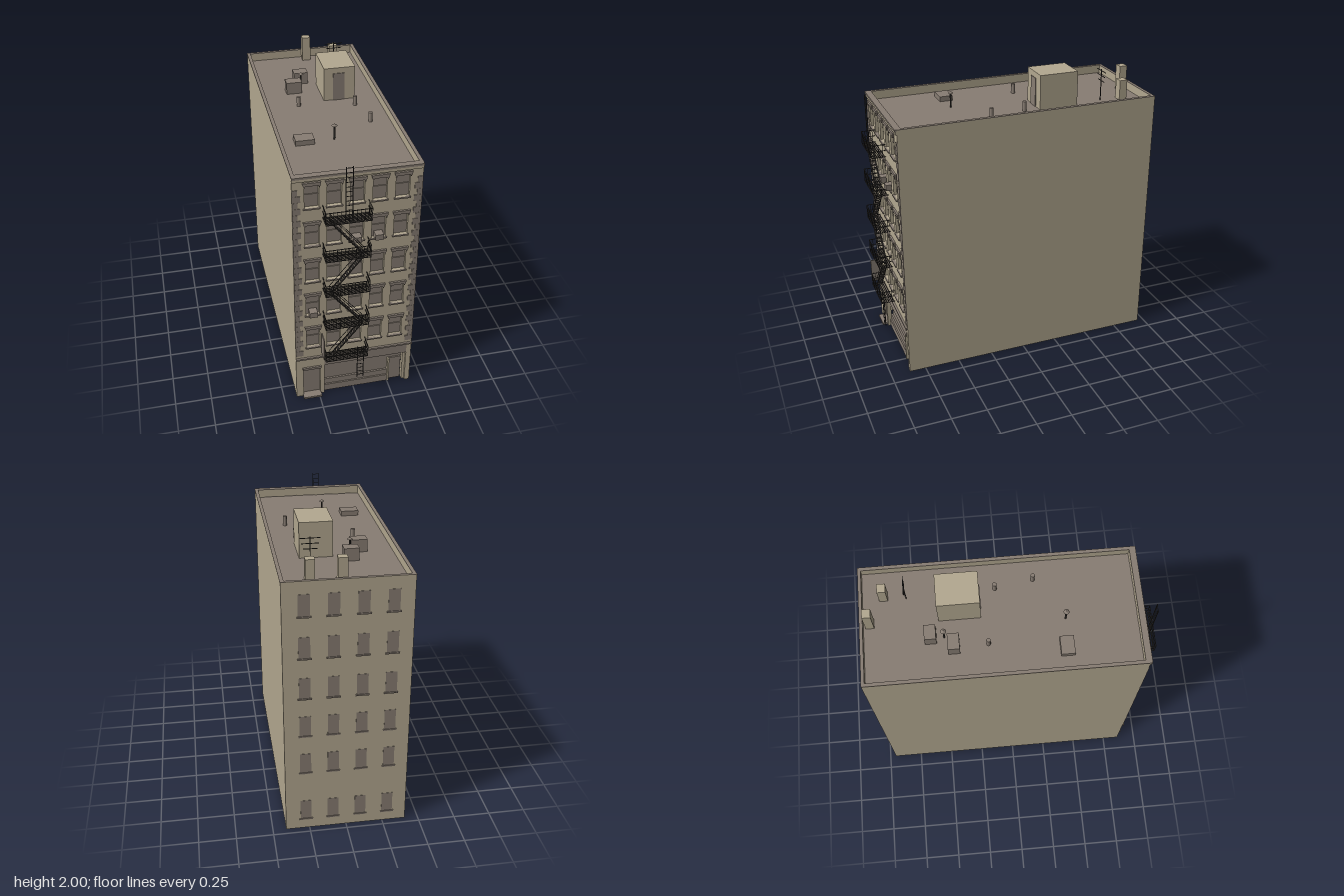
import * as THREE from 'three';

const mat = (name, color, side = THREE.FrontSide) => {
  const m = new THREE.MeshStandardMaterial({ color, side });
  m.name = name;
  return m;
};

export function createModel() {
  const wall = mat('tan masonry', 0xb3a890, THREE.DoubleSide);
  const trim = mat('grey brown trim', 0x887d73, THREE.DoubleSide);
  const iron = mat('dark iron', 0x35322f);

  const model = new THREE.Group();
  model.name = 'building';
  const group = (name) => {
    const g = new THREE.Group();
    g.name = name;
    model.add(g);
    return g;
  };
  const add = (parent, name, geo, m) => {
    const mesh = new THREE.Mesh(geo, m);
    mesh.name = name;
    parent.add(mesh);
    return mesh;
  };
  // Box given by its lower and upper limits on each axis
  const box = (parent, name, m, x0, x1, y0, y1, z0, z1) => {
    const b = add(parent, name, new THREE.BoxGeometry(x1 - x0, y1 - y0, z1 - z0), m);
    b.position.set((x0 + x1) / 2, (y0 + y1) / 2, (z0 + z1) / 2);
    return b;
  };
  // Thin square bar between two points
  const bar = (parent, name, a, b, t = 0.005) => {
    const from = new THREE.Vector3(...a), to = new THREE.Vector3(...b);
    const m = add(parent, name, new THREE.BoxGeometry(t, t, from.distanceTo(to)), iron);
    m.position.copy(from).lerp(to, 0.5);
    m.lookAt(to);
    return m;
  };
  const tube = (parent, name, m, x, z, y0, y1, r) => {
    const c = add(parent, name, new THREE.CylinderGeometry(r, r, y1 - y0, 12), m);
    c.position.set(x, (y0 + y1) / 2, z);
  };

  const W = 0.41, TOP = 1.82, ROOF = 1.76, BACK = -0.955, FRONT = 0.865;
  const columns = [-0.288, -0.147, -0.003, 0.139, 0.283];
  const sills = [0.455, 0.74, 1.02, 1.305, 1.59];

  // Shell: party walls, back wall, roof and parapet, open underneath
  const shell = group('shell');
  for (const s of [-1, 1]) {
    const side = add(shell, 'sideWall', new THREE.PlaneGeometry(FRONT - BACK, TOP), wall);
    side.rotation.y = s * Math.PI / 2;
    side.position.set(s * W, TOP / 2, (FRONT + BACK) / 2);
    box(shell, 'sideParapet', wall, s * 0.399 - 0.01, s * 0.399 + 0.01, ROOF, TOP - 0.004, BACK + 0.002, FRONT - 0.03);
    box(shell, 'sideCoping', trim, s * 0.4 - 0.012, s * 0.4 + 0.012, TOP - 0.004, TOP, BACK, FRONT);
  }
  const back = add(shell, 'backWall', new THREE.PlaneGeometry(2 * W, TOP), wall);
  back.rotation.y = Math.PI;
  back.position.set(0, TOP / 2, BACK);
  box(shell, 'backParapet', wall, -0.389, 0.389, ROOF, TOP - 0.004, BACK + 0.002, BACK + 0.02);
  box(shell, 'backCoping', trim, -0.388, 0.388, TOP - 0.004, TOP, BACK, BACK + 0.022);
  box(shell, 'frontCoping', trim, -0.388, 0.388, TOP - 0.004, TOP, FRONT - 0.03, FRONT);
  const roof = add(shell, 'roof', new THREE.PlaneGeometry(2 * W, FRONT - BACK), trim);
  roof.rotation.x = -Math.PI / 2;
  roof.position.set(0, ROOF, (FRONT + BACK) / 2);

  // Front wall with openings for the shop, entrance and windows
  const face = new THREE.Shape([
    [-W, 0], [-0.36, 0], [-0.36, 0.265], [-0.24, 0.265], [-0.24, 0], [-0.21, 0], [-0.21, 0.35],
    [0.375, 0.35], [0.375, 0], [W, 0], [W, TOP - 0.004], [-W, TOP - 0.004],
  ].map((p) => new THREE.Vector2(...p)));
  for (const x of columns) for (const y of sills) {
    face.holes.push(new THREE.Path([[-0.045, 0], [-0.045, 0.175], [0.045, 0.175], [0.045, 0]]
      .map(([u, v]) => new THREE.Vector2(x + u, y + v))));
  }
  const facade = add(shell, 'frontWall', new THREE.ExtrudeGeometry(face, { depth: 0.03, bevelEnabled: false }), wall);
  facade.position.z = FRONT - 0.03;

  // Front windows with flared lintels and sills
  const windows = group('frontWindows');
  const lintel = new THREE.ExtrudeGeometry(new THREE.Shape([
    [-0.048, 0.15], [-0.045, 0.15], [-0.042, 0.163], [0.042, 0.163], [0.045, 0.15], [0.048, 0.15],
    [0.057, 0.178], [0.057, 0.185], [-0.057, 0.185], [-0.057, 0.178],
  ].map((p) => new THREE.Vector2(...p))), { depth: 0.013, bevelEnabled: false });
  for (const x of columns) for (const y of sills) {
    box(windows, 'pane', trim, x - 0.046, x + 0.046, y, y + 0.176, FRONT - 0.026, FRONT - 0.02);
    box(windows, 'sashRail', trim, x - 0.045, x + 0.045, y + 0.085, y + 0.092, FRONT - 0.02, FRONT - 0.014);
    box(windows, 'sill', trim, x - 0.053, x + 0.053, y - 0.01, y, FRONT - 0.01, FRONT + 0.01);
    add(windows, 'lintel', lintel, trim).position.set(x, y, FRONT);
  }
  for (const [x, y] of [[0.139, 1.305], [-0.003, 1.305], [-0.288, 0.74]]) {
    box(windows, 'airConditioner', trim, x - 0.027, x + 0.027, y, y + 0.04, FRONT - 0.02, FRONT + 0.034);
  }

  // Back windows
  const rear = group('backWindows');
  for (const x of [-0.28, -0.095, 0.09, 0.273]) for (const y of [0.08, ...sills]) {
    box(rear, 'pane', trim, x - 0.037, x + 0.037, y, y + 0.145, BACK - 0.002, BACK + 0.002);
    box(rear, 'sill', trim, x - 0.045, x + 0.045, y - 0.01, y, BACK - 0.007, BACK);
  }

  // Toothed corner stones and cornices
  const ornament = group('facadeTrim');
  for (const s of [-1, 1]) {
    for (let i = 0; i < 30; i++) {
      const w = i % 2 ? 0.034 : 0.052, y = 0.385 + i * 0.0448;
      const a = s * W, b = s * (W - w);
      box(ornament, 'cornerStone', trim, Math.min(a, b), Math.max(a, b), y, y + 0.0438, FRONT, FRONT + 0.004);
    }
  }
  box(ornament, 'roofCornice', wall, -W, W, 1.785, 1.806, FRONT, FRONT + 0.008);
  box(ornament, 'roofCorniceLip', trim, -W, W, 1.806, TOP, FRONT, FRONT + 0.013);
  box(ornament, 'shopCornice', trim, -W, W, 0.351, 0.364, FRONT, FRONT + 0.014);

  // Shopfront and entrance
  const shop = group('shopfront');
  box(shop, 'shopGlass', trim, -0.21, 0.255, 0.1, 0.27, 0.815, 0.823);
  box(shop, 'shopBase', trim, -0.21, 0.255, 0, 0.055, 0.815, 0.845);
  box(shop, 'shopLedge', trim, -0.21, 0.255, 0.055, 0.1, 0.815, 0.835);
  box(shop, 'signBoard', trim, -0.21, 0.375, 0.27, 0.35, 0.82, 0.868);
  box(shop, 'shopTransom', trim, 0.255, 0.375, 0.205, 0.27, 0.815, 0.823);
  box(shop, 'shopDoor', trim, 0.265, 0.35, 0, 0.2, 0.815, 0.828);
  box(shop, 'shopDoorPost', wall, 0.25, 0.262, 0, 0.205, 0.815, 0.85);
  box(shop, 'shopDoorPost', wall, 0.355, 0.375, 0, 0.27, 0.815, 0.85);
  box(shop, 'entranceDoor', trim, -0.36, -0.24, 0, 0.265, 0.835, 0.843);
  box(shop, 'entranceLintel', trim, -0.365, -0.235, 0.252, 0.27, FRONT, FRONT + 0.012);
  box(shop, 'entranceStep', trim, -0.365, -0.235, 0, 0.014, 0.835, 0.9);
  box(shop, 'hangingSign', trim, -0.235, -0.228, 0.405, 0.58, 0.885, 0.96);
  for (const y of [0.43, 0.495]) bar(shop, 'signBracket', [-0.231, y, FRONT], [-0.231, y, 0.89], 0.004);

  // Fire escape: balconies, zigzag stairs and ladders
  const escape = group('fireEscape');
  const levels = [0.385, 0.67, 0.95, 1.23, 1.51];
  const X0 = -0.22, X1 = 0.07, Z1 = 0.96;
  levels.forEach((y, n) => {
    for (let i = 0; i <= 7; i++) {
      const z = FRONT + 0.008 + i * 0.012;
      bar(escape, 'floorSlat', [X0, y, z], [X1, y, z], 0.004);
    }
    for (const h of [0, 0.045, 0.088]) {
      bar(escape, 'frontRail', [X0, y + h, Z1], [X1, y + h, Z1], 0.004);
      for (const x of [X0, X1]) bar(escape, 'sideRail', [x, y + h, FRONT], [x, y + h, Z1], 0.004);
    }
    for (let i = 0; i <= 12; i++) {
      const x = X0 + (X1 - X0) * i / 12;
      bar(escape, 'baluster', [x, y, Z1], [x, y + 0.088, Z1], 0.003);
    }
    for (const x of [X0, X1]) for (const z of [0.885, 0.91, 0.935]) {
      bar(escape, 'sideBaluster', [x, y, z], [x, y + 0.088, z], 0.003);
    }
    // Stair up to the next balcony
    if (n === 4) return;
    const s = n % 2 ? -1 : 1;
    const lo = [-0.075 - s * 0.11, y], hi = [-0.075 + s * 0.11, levels[n + 1]];
    for (const z of [0.9, 0.935]) {
      bar(escape, 'stringer', [...lo, z], [...hi, z], 0.006);
      bar(escape, 'handrail', [lo[0], lo[1] + 0.045, z], [hi[0], hi[1] + 0.045, z], 0.003);
    }
    for (let i = 1; i < 12; i++) {
      const x = lo[0] + (hi[0] - lo[0]) * i / 12, ty = lo[1] + (hi[1] - lo[1]) * i / 12;
      box(escape, 'tread', iron, x - 0.008, x + 0.008, ty - 0.0015, ty + 0.0015, 0.9, 0.935);
    }
  });
  const ladder = (name, x0, x1, y0, y1, z) => {
    for (const x of [x0, x1]) bar(escape, name, [x, y0, z], [x, y1, z], 0.005);
    for (let y = y0 + 0.02; y < y1; y += 0.033) bar(escape, name + 'Rung', [x0, y, z], [x1, y, z], 0.003);
  };
  ladder('dropLadder', 0.003, 0.046, 0.18, 0.46, 0.938);
  ladder('roofLadder', -0.095, -0.052, 1.51, 1.9, 0.945);

  // Roof structures
  const top = group('roofEquipment');
  box(top, 'stairHouse', wall, 0.015, 0.235, ROOF, 2, -0.45, -0.175);
  box(top, 'stairHouseDoor', trim, 0.08, 0.16, ROOF, 1.96, -0.175, -0.17);
  box(top, 'chimney', wall, 0, 0.06, ROOF, 1.94, -0.92, -0.865);
  box(top, 'chimney', wall, 0.185, 0.245, ROOF, 1.9, -0.825, -0.77);
  box(top, 'coolingUnit', trim, -0.14, -0.04, ROOF, 1.845, -0.545, -0.47);
  box(top, 'coolingUnit', trim, -0.22, -0.11, ROOF, 1.845, -0.4, -0.325);
  box(top, 'roofHatch', trim, -0.295, -0.17, ROOF, 1.795, 0.315, 0.405);
  for (const [x, z] of [[-0.17, -0.14], [0.212, -0.07], [0.255, 0.183]]) tube(top, 'ventPipe', trim, x, z, ROOF, 1.828, 0.014);
  for (const [x, z] of [[-0.1, -0.42], [-0.035, 0.37]]) {
    tube(top, 'ventStem', iron, x, z, ROOF, 1.866, 0.006);
    const cap = add(top, 'ventCap', new THREE.ConeGeometry(0.019, 0.014, 12), trim);
    cap.position.set(x, 1.868, z);
  }
  bar(top, 'antennaMast', [0.19, ROOF, -0.65], [0.19, 1.98, -0.65], 0.005);
  [[1.97, 0.065], [1.935, 0.055], [1.9, 0.045]].forEach(([y, r]) =>
    bar(top, 'antennaArm', [0.19 - r, y, -0.65], [0.19 + r, y, -0.65], 0.004));
  return model;
}
